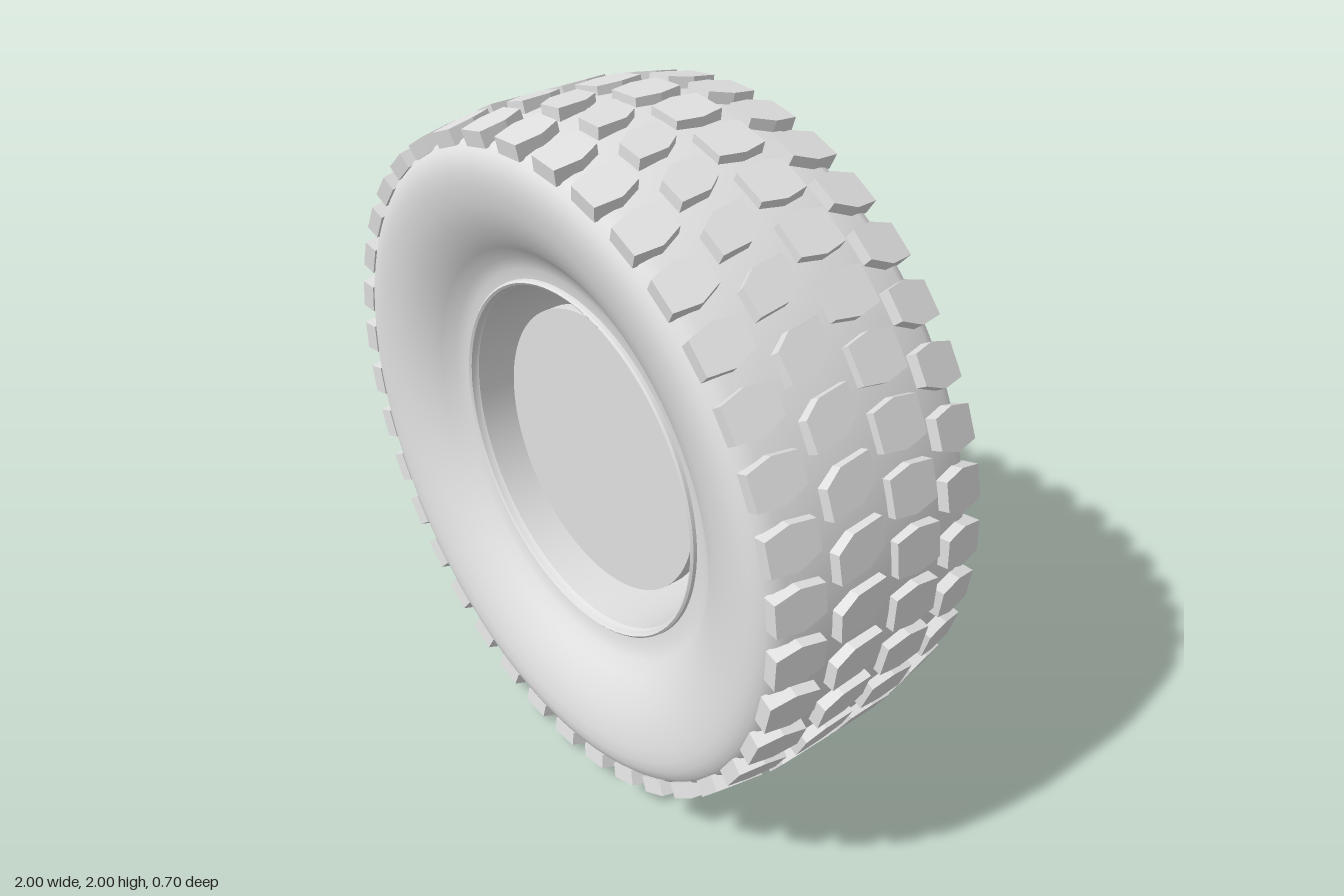
import * as THREE from 'three';
import { toCreasedNormals } from 'three/addons/utils/BufferGeometryUtils.js';

const SEG = 96;
const PITCHES = 38; // tread blocks per row

export function createModel() {
  const wheel = new THREE.Group();
  wheel.name = 'wheel';
  wheel.position.y = 1;
  const model = new THREE.Group();
  model.add(wheel);

  const grey = new THREE.MeshStandardMaterial({ color: 0xe0e0e0, side: THREE.DoubleSide });
  grey.name = 'grey';

  const add = (name, geometry, parent = wheel) => {
    const mesh = new THREE.Mesh(geometry, grey);
    mesh.name = name;
    parent.add(mesh);
    return mesh;
  };
  // Turn a [radius, z] profile around the axle
  const turn = (profile) => {
    const points = profile.map(([r, z]) => new THREE.Vector2(r, z));
    return new THREE.LatheGeometry(points, SEG).rotateX(Math.PI / 2);
  };
  // Short cylinder along the axle, between two z positions
  const disc = (radius, z0, z1, sides = SEG) =>
    new THREE.CylinderGeometry(radius, radius, z1 - z0, sides)
      .rotateX(Math.PI / 2).translate(0, 0, (z0 + z1) / 2);
  // Call a builder at equal angles around the axle
  const around = (count, radius, build) => {
    for (let i = 0; i < count; i++) {
      const a = (i / count) * Math.PI * 2;
      build(radius * Math.cos(a), radius * Math.sin(a));
    }
  };

  // Tyre: crown, rounded shoulders and bowl-shaped sidewalls, mirrored front to back
  const half = [[0.53, 0.22], [0.565, 0.223], [0.6, 0.236], [0.635, 0.266], [0.67, 0.292], [0.72, 0.32],
    [0.77, 0.338], [0.82, 0.349], [0.86, 0.352], [0.89, 0.348], [0.915, 0.338], [0.935, 0.32],
    [0.948, 0.29], [0.963, 0.2], [0.973, 0.1]];
  const backHalf = half.map(([r, z]) => [r, -z]);
  add('tyre', turn([...backHalf, [0.976, 0], ...half.slice().reverse()]));

  // Tread blocks: outlines as seen from outside, +z to the left
  const cut = [[-0.072, -0.062], [0.02, -0.053], [0.072, -0.018], [0.072, 0.062], [-0.02, 0.053], [-0.072, 0.018]];
  const hex = [[-0.072, -0.05], [0, -0.064], [0.072, -0.05], [0.072, 0.05], [0, 0.064], [-0.072, 0.05]];
  const outer = [[-0.07, -0.052], [0.005, -0.059], [0.07, -0.032], [0.07, 0.05], [0, 0.059], [-0.07, 0.04]];
  const outerMirrored = outer.map(([s, t]) => [-s, t]).reverse();
  const rows = [
    { name: 'frontOuterTread', z: 0.276, outline: outer, offset: 0, top: 0.98, depth: 0.045, tilt: -0.17 },
    { name: 'frontInnerTread', z: 0.093, outline: cut, offset: 0.5, top: 0.998, depth: 0.035, tilt: 0 },
    { name: 'backInnerTread', z: -0.093, outline: hex, offset: 0, top: 0.998, depth: 0.035, tilt: 0 },
    { name: 'backOuterTread', z: -0.276, outline: outerMirrored, offset: 0.5, top: 0.98, depth: 0.045, tilt: 0.17 },
  ];
  for (const row of rows) {
    const shape = new THREE.Shape(row.outline.map(([s, t]) => new THREE.Vector2(s, t)));
    const block = new THREE.ExtrudeGeometry(shape, { depth: row.depth, bevelEnabled: false })
      .translate(0, 0, -row.depth)
      .rotateY(Math.PI / 2 + row.tilt)
      .translate(row.top, 0, row.z);
    const group = new THREE.Group();
    group.name = row.name;
    wheel.add(group);
    for (let i = 0; i < PITCHES; i++) {
      add('treadBlock', block, group).rotation.z = ((i + row.offset) / PITCHES) * Math.PI * 2;
    }
  }

  // Rim barrel with a rolled front lip
  add('rimBarrel', toCreasedNormals(turn([
    [0.536, 0.215], [0.534, 0.231], [0.528, 0.236], [0.521, 0.231], [0.518, 0.215],
    [0.514, 0.21], [0.51, 0.1], [0.507, -0.23],
  ]), 0.6));

  // Clamping ring around the back of the rim
  add('clampRing', toCreasedNormals(turn([
    [0.507, -0.21], [0.51, -0.268], [0.516, -0.275], [0.521, -0.275], [0.523, -0.269], [0.556, -0.269],
    [0.558, -0.28], [0.566, -0.28], [0.569, -0.272], [0.569, -0.22],
  ]), 0.5));
  const bolt = disc(0.01, -0.279, -0.265, 12);
  around(12, 0.539, (x, y) => add('ringBolt', bolt).position.set(x, y, 0));

  // Wheel face with twelve round holes
  const plate = new THREE.Shape().absarc(0, 0, 0.508, 0, Math.PI * 2);
  around(12, 0.368, (x, y) => {
    plate.holes.push(new THREE.Path().absarc(x, y, 0.055, 0, Math.PI * 2, true));
  });
  const plateGeometry = new THREE.ExtrudeGeometry(plate, { depth: 0.025, bevelEnabled: false, curveSegments: 32 });
  add('wheelFace', toCreasedNormals(plateGeometry.translate(0, 0, -0.229), 0.5));

  // Hub cap and wheel nuts
  add('hubCap', disc(0.104, -0.272, -0.22, 48));
  const nut = disc(0.02, -0.275, -0.22, 16);
  around(6, 0.175, (x, y) => add('wheelNut', nut).position.set(x, y, 0));

  // Brake disc carried on the hub
  add('brakeDisc', disc(0.426, 0.1, 0.142));
  add('hub', disc(0.14, -0.21, 0.11, 48));

  return model;
}
